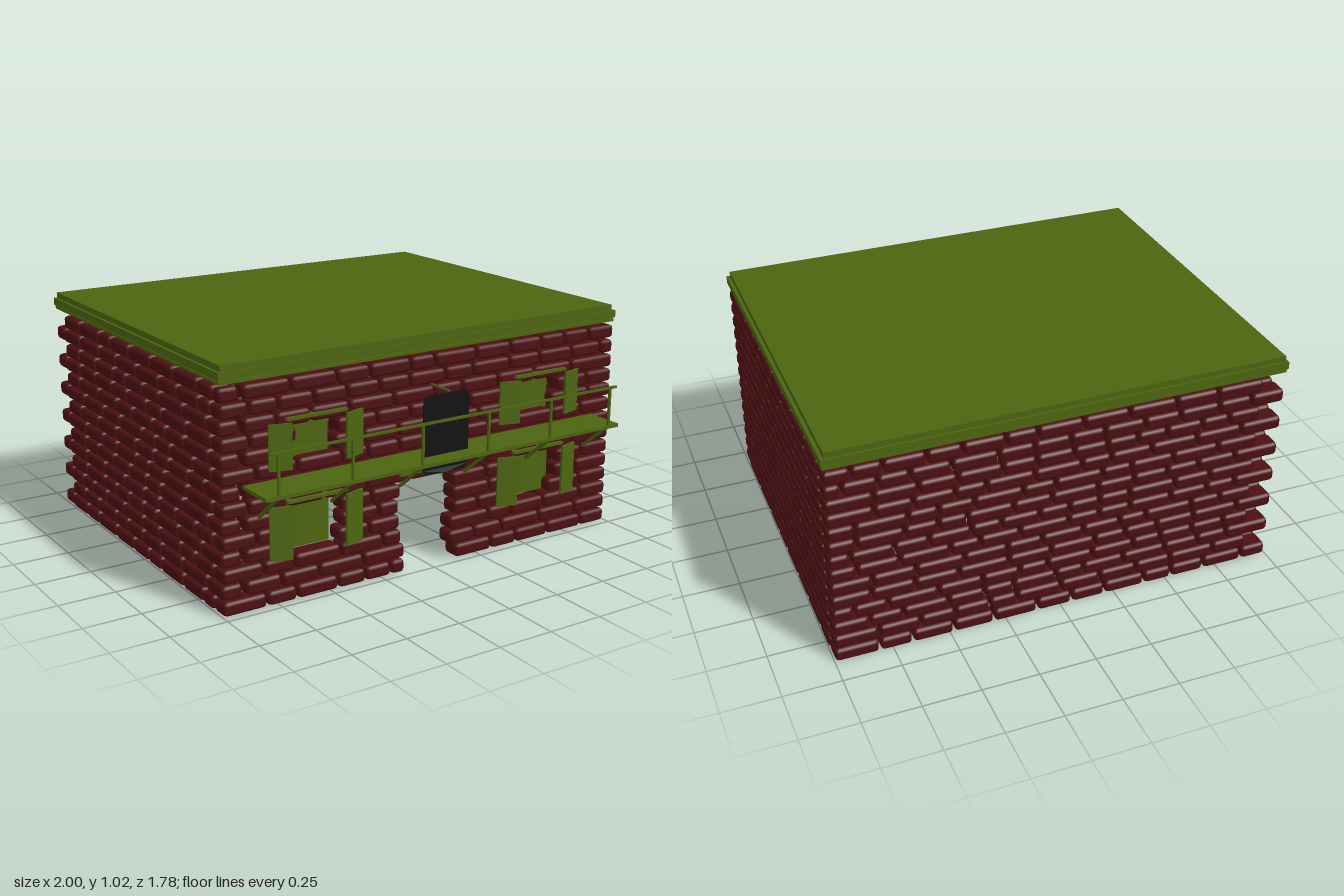
import * as THREE from 'three';
import { mergeGeometries } from 'three/addons/utils/BufferGeometryUtils.js';
import { RoundedBoxGeometry } from 'three/addons/geometries/RoundedBoxGeometry.js';

const BRICK = new THREE.MeshStandardMaterial({ color: 0x4c1012 });
const GREEN = new THREE.MeshStandardMaterial({ color: 0x4c6410 });
const DARK = new THREE.MeshStandardMaterial({ color: 0x121212, side: THREE.DoubleSide });

const COURSES = 14, PITCH = 0.067, BRICK_H = 0.059, DEPTH = 0.09, GAP = 0.009;
const BACK = -0.89, FRONT = 0.72;

// Openings in the front wall: x range and course range
const OPENINGS = [
  { x0: -0.15, x1: 0.12, c0: 0, c1: 5 },
  { x0: -0.69, x1: -0.47, c0: 3, c1: 5 },
  { x0: 0.45, x1: 0.67, c0: 3, c1: 5 },
  { x0: -0.67, x1: -0.48, c0: 9, c1: 10 },
  { x0: 0.41, x1: 0.66, c0: 9, c1: 10 },
];

function makeRandom(seed) {
  let s = seed;
  return () => ((s = (s * 16807) % 2147483647) / 2147483647);
}

export function createModel() {
  const model = new THREE.Group();
  const random = makeRandom(4217);

  const add = (name, geometry, material, parent = model) => {
    const mesh = new THREE.Mesh(geometry, material);
    mesh.name = name;
    parent.add(mesh);
    return mesh;
  };
  // Box given by its limits on each axis
  const box = (name, x0, x1, y0, y1, z0, z1, parent) => {
    const mesh = add(name, new THREE.BoxGeometry(x1 - x0, y1 - y0, z1 - z0), GREEN, parent);
    mesh.position.set((x0 + x1) / 2, (y0 + y1) / 2, (z0 + z1) / 2);
    return mesh;
  };
  // Thin square bar between two points
  const bar = (name, a, b, size, parent) => {
    const from = new THREE.Vector3(...a), to = new THREE.Vector3(...b);
    const mesh = add(name, new THREE.BoxGeometry(size, size, from.distanceTo(to)), GREEN, parent);
    mesh.position.copy(from).lerp(to, 0.5);
    mesh.lookAt(to);
    return mesh;
  };

  // Rounded bricks of uneven length filling one run of a course
  const layRun = (list, from, to, course, across, alongX) => {
    let p = from;
    while (p < to - 0.01) {
      let len = 0.12 + random() * 0.1;
      if (to - p - len < 0.06) len = to - p;
      const size = len - GAP;
      const g = alongX
        ? new RoundedBoxGeometry(size, BRICK_H, DEPTH, 1, 0.016)
        : new RoundedBoxGeometry(DEPTH, BRICK_H, size, 1, 0.016);
      const mid = p + len / 2, y = course * PITCH + BRICK_H / 2;
      g.translate(alongX ? mid : across, y, alongX ? across : mid);
      list.push(g);
      p += len;
    }
  };

  // Brick walls, with corners bonded on alternate courses
  const walls = { frontWall: [], backWall: [], leftWall: [], rightWall: [] };
  const h = DEPTH / 2;
  for (let c = 0; c < COURSES; c++) {
    const odd = c % 2 === 1;
    const startX = odd ? -0.895 : -1;
    const startZ = odd ? BACK + 0.1 : BACK;
    layRun(walls.backWall, startX, 1, c, BACK + h, true);
    layRun(walls.leftWall, odd ? startZ : BACK + DEPTH, FRONT - DEPTH, c, 1 - h, false);
    layRun(walls.rightWall, odd ? startZ : BACK + DEPTH, odd ? FRONT : FRONT - DEPTH, c, -1 + h, false);
    let x = startX;
    OPENINGS.filter((o) => c >= o.c0 && c <= o.c1).sort((a, b) => a.x0 - b.x0).forEach((o) => {
      layRun(walls.frontWall, x, o.x0 + (random() - 0.5) * 0.05, c, FRONT - h, true);
      x = o.x1 + (random() - 0.5) * 0.05;
    });
    layRun(walls.frontWall, x, 1, c, FRONT - h, true);
  }
  for (const [name, list] of Object.entries(walls)) add(name, mergeGeometries(list), BRICK);

  // Roof: stepped cornice and top slab
  const roof = new THREE.Group();
  roof.name = 'roof';
  model.add(roof);
  box('lowerCornice', -0.995, 0.995, 0.945, 0.957, BACK + 0.005, FRONT - 0.005, roof);
  box('upperCornice', -1, 1, 0.962, 0.995, BACK, FRONT, roof);
  box('roofSlab', -0.988, 0.985, 0.995, 1.02, BACK + 0.01, FRONT - 0.01, roof);

  // Windows: recessed pane, lintel and a pair of slightly open shutters
  const addWindow = (name, cx, y0, y1, pane) => {
    const g = new THREE.Group();
    g.name = name;
    model.add(g);
    box('pane', pane[0], pane[1], y0 + 0.01, y1, 0.655, 0.665, g);
    box('lintel', cx - 0.14, cx + 0.14, y1 + 0.005, y1 + 0.017, 0.69, 0.738, g);
    for (const side of [-1, 1]) {
      const shutter = box('shutter', -0.048, 0.048, y0, y1, -0.005, 0.005, g);
      shutter.position.x = cx + side * 0.172;
      shutter.position.z = 0.736;
      shutter.rotation.y = side * 0.27;
    }
  };
  addWindow('lowerRightWindow', -0.573, 0.195, 0.42, [-0.68, -0.48]);
  addWindow('lowerLeftWindow', 0.568, 0.195, 0.42, [0.46, 0.68]);
  addWindow('upperRightWindow', -0.573, 0.57, 0.76, [-0.665, -0.485]);
  addWindow('upperLeftWindow', 0.568, 0.57, 0.76, [0.41, 0.66]);

  // Balcony with railing and diagonal braces
  const balcony = new THREE.Group();
  balcony.name = 'balcony';
  model.add(balcony);
  box('deck', -0.9, 0.89, 0.515, 0.53, FRONT - 0.01, 0.89, balcony);
  bar('handrail', [-0.875, 0.7, 0.884], [0.87, 0.7, 0.884], 0.01, balcony);
  for (let i = 0; i < 6; i++) {
    const x = -0.84 + i * 0.335;
    bar('railingPost', [x, 0.53, 0.884], [x, 0.7, 0.884], 0.01, balcony);
    bar('brace', [x, 0.515, 0.875], [x, 0.395, 0.727], 0.012, balcony);
  }

  // Door header
  box('doorHeader', -0.17, 0.12, 0.435, 0.45, 0.69, 0.735);

  // Hanging board: thin bowed plate with clipped corners, on an arm
  const w = 0.115, c = 0.02;
  const outline = new THREE.Shape([
    [-w, 0.45 + c], [-w + c, 0.45], [0, 0.45], [w - c, 0.45], [w, 0.45 + c],
    [w, 0.79 - c], [w - c, 0.79], [0, 0.79], [-w + c, 0.79], [-w, 0.79 - c],
  ].map(([x, y]) => new THREE.Vector2(x, y)));
  const board = new THREE.ExtrudeGeometry(outline, { depth: 0.006, bevelEnabled: false });
  const pos = board.attributes.position;
  for (let i = 0; i < pos.count; i++) {
    pos.setZ(i, pos.getZ(i) + 0.812 - 0.5 * pos.getX(i) ** 2);
  }
  board.computeVertexNormals();
  add('hangingBoard', board, DARK);
  bar('boardArm', [0, 0.8, FRONT - 0.02], [0, 0.8, 0.825], 0.008);

  return model;
}
